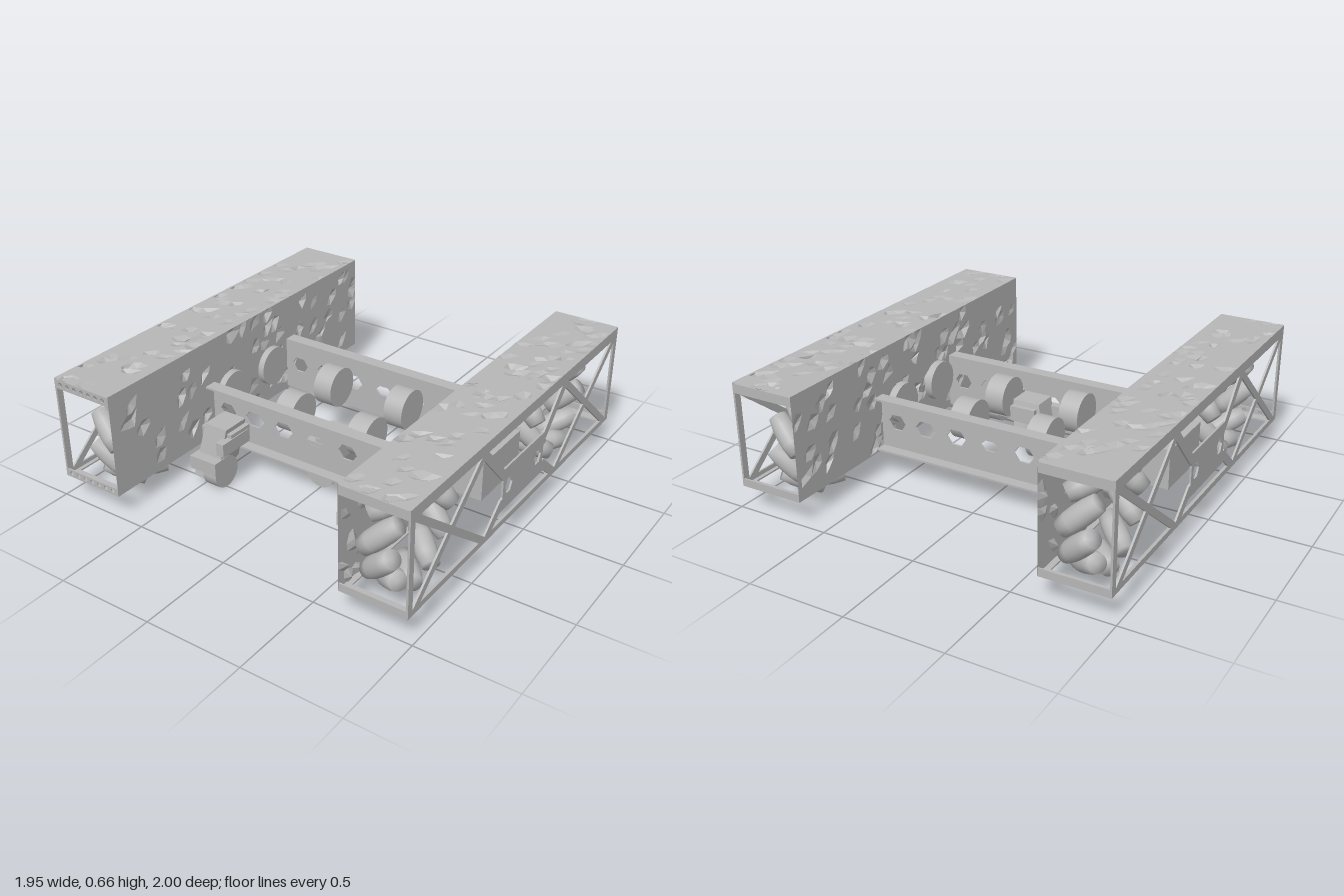
import * as THREE from 'three';

const grey = new THREE.MeshStandardMaterial({ color: 0xb6b6b6, side: THREE.DoubleSide });
grey.name = 'bare metal grey';

// Small seeded random generator
let seed = 11;
function rnd() {
  seed = (seed + 0x6d2b79f5) | 0;
  let t = Math.imul(seed ^ (seed >>> 15), 1 | seed);
  t = (t + Math.imul(t ^ (t >>> 7), 61 | t)) ^ t;
  return ((t ^ (t >>> 14)) >>> 0) / 4294967296;
}

function add(parent, name, geo, x = 0, y = 0, z = 0) {
  const m = new THREE.Mesh(geo, grey);
  m.name = name;
  m.position.set(x, y, z);
  parent.add(m);
  return m;
}
const box = (p, name, w, h, d, x, y, z) => add(p, name, new THREE.BoxGeometry(w, h, d), x, y, z);
function cylX(p, name, r, len, x, y, z, n = 28) {
  return add(p, name, new THREE.CylinderGeometry(r, r, len, n).rotateZ(Math.PI / 2), x, y, z);
}
const outline = pts => new THREE.Shape(pts.map(p => new THREE.Vector2(...p)));
const rect = (x0, y0, x1, y1) => outline([[x0, y0], [x1, y0], [x1, y1], [x0, y1]]);
const extrude = (shape, depth) => new THREE.ExtrudeGeometry(shape, { depth, bevelEnabled: false });

function polygonHole(shape, cx, cy, rx, ry, n) {
  const pts = [];
  for (let i = 0; i < n; i++) {
    const a = i / n * Math.PI * 2;
    pts.push(new THREE.Vector2(cx + rx * Math.cos(a), cy + ry * Math.sin(a)));
  }
  shape.holes.push(new THREE.Path(pts));
}

// Sheet with small sharp dents: inner vertices are shifted and some pushed inward
function dentedSheet(w, h, nx, ny, chance) {
  const plane = new THREE.PlaneGeometry(w, h, nx, ny);
  const p = plane.attributes.position;
  for (let j = 1; j < ny; j++) for (let i = 1; i < nx; i++) {
    const k = j * (nx + 1) + i;
    const dx = (rnd() - 0.5) * 0.8 * w / nx, dy = (rnd() - 0.5) * 0.8 * h / ny;
    p.setXYZ(k, p.getX(k) + dx, p.getY(k) + dy, rnd() < chance ? -0.006 - 0.022 * rnd() : 0);
  }
  const flat = plane.toNonIndexed();
  flat.computeVertexNormals();
  return flat;
}

// Flat bar between two (z, y) points in an upright side plane
function strut(p, x, [z0, y0], [z1, y1], w = 0.036) {
  const m = box(p, 'trussStrut', 0.01, w, Math.hypot(z1 - z0, y1 - y0), x, (y0 + y1) / 2, (z0 + z1) / 2);
  m.rotation.x = -Math.atan2(y1 - y0, z1 - z0);
}

// Wheel of ten slanted barrel rollers; hand sets the slant direction
function rollerWheel(hand) {
  const g = new THREE.Group();
  g.name = 'rollerWheel';
  const profile = [[0, -0.105], [0.043, -0.105], [0.052, -0.05], [0.054, 0], [0.052, 0.05], [0.043, 0.105], [0, 0.105]];
  const barrel = new THREE.LatheGeometry(profile.map(p => new THREE.Vector2(...p)), 18);
  const up = new THREE.Vector3(0, 1, 0);
  for (let i = 0; i < 10; i++) {
    const a = i / 10 * Math.PI * 2, c = Math.cos(a), s = Math.sin(a);
    const roller = add(g, 'roller', barrel, 0, 0.234 * c, 0.234 * s);
    roller.quaternion.setFromUnitVectors(up, new THREE.Vector3(1, -s * hand, c * hand).normalize());
  }
  return g;
}

// Long side frame: dented top and inner wall, open truss outside, open ends
function sideFrame(s) {
  const g = new THREE.Group();
  g.name = s > 0 ? 'leftFrame' : 'rightFrame';
  const inner = s * 0.632, outer = s * 0.97, mid = s * 0.803;
  add(g, 'topPlate', dentedSheet(0.345, 2, 10, 58, 0.11).rotateX(-Math.PI / 2), mid, 0.66, 0);
  add(g, 'innerWall', dentedSheet(2, 0.535, 58, 15, 0.08).rotateY(-s * Math.PI / 2), inner, 0.3925, 0);

  box(g, 'topRail', 0.01, 0.055, 2, outer, 0.631, 0);
  box(g, 'bottomRail', 0.01, 0.03, 2, outer, 0.14, 0);
  box(g, 'bottomLip', 0.03, 0.008, 2, s * 0.96, 0.129, 0);
  box(g, 'innerLip', 0.03, 0.008, 2, s * 0.647, 0.129, 0);
  for (const e of [-1, 1]) {
    box(g, 'outerPost', 0.01, 0.53, 0.035, outer, 0.393, e * 0.982);
    strut(g, outer, [e * 0.965, 0.61], [e * 0.36, 0.14]);
    strut(g, outer, [e * 0.39, 0.61], [e * 0.95, 0.14]);
    strut(g, outer, [e * 0.4, 0.61], [e * 0.2, 0.4], 0.045);
    strut(g, outer, [e * 0.34, 0.14], [e * 0.2, 0.26], 0.045);
    // End channels, drilled at the front of the right frame
    for (const [y0, y1, flange] of [[0.608, 0.655, 0.65], [0.125, 0.165, 0.129]]) {
      const face = rect(-0.17, y0, 0.17, y1);
      if (e > 0 && s < 0) for (let i = 0; i < 7; i++)
        polygonHole(face, -0.135 + i * 0.045, (y0 + y1) / 2, 0.012, 0.012, 8);
      add(g, 'endChannel', extrude(face, 0.008), mid, 0, e * 0.996 - 0.004);
      box(g, 'endFlange', 0.34, 0.008, 0.06, mid, flange, e * 0.968);
    }
    const wheel = rollerWheel(-s * e);
    wheel.position.set(s * 0.767, 0.322, e * 0.665);
    g.add(wheel);
  }

  // Centre drive plate and the gearbox behind it
  const plate = outline([[-0.25, 0.43], [0.25, 0.43], [0.2, 0.37], [0.2, 0.28], [0.26, 0.21],
    [-0.26, 0.21], [-0.2, 0.28], [-0.2, 0.37]]);
  for (const z of [-0.145, 0.145]) polygonHole(plate, z, 0.325, 0.035, 0.045, 6);
  add(g, 'drivePlate', extrude(plate, 0.01).rotateY(-Math.PI / 2), outer + 0.005, 0, 0);
  box(g, 'gearbox', 0.16, 0.2, 0.36, s * 0.78, 0.31, 0);
  return g;
}

// Swivel caster: sloping hood on a mount, wheel ahead (+z) of the mount
function caster(x, z, turn) {
  const g = new THREE.Group();
  g.name = 'caster';
  const shape = new THREE.BoxGeometry(1, 1, 1);
  const p = shape.attributes.position;
  for (let i = 0; i < p.count; i++) {
    const top = p.getY(i) > 0, right = p.getX(i) > 0, front = p.getZ(i) > 0;
    p.setXYZ(i, top ? (right ? 0.07 : -0.06) : (right ? 0.04 : -0.105),
      top ? 0.33 : (front ? 0.05 : 0.13), top ? (front ? 0.15 : 0) : (front ? 0.205 : 0.03));
  }
  const hood = shape.toNonIndexed();
  hood.computeVertexNormals();
  add(g, 'casterHood', hood);
  box(g, 'casterMount', 0.185, 0.08, 0.14, 0, 0.265, 0.07);
  box(g, 'casterArm', 0.045, 0.07, 0.2, 0.075, 0.25, 0.11);
  cylX(g, 'casterWheel', 0.085, 0.08, 0.015, 0.09, 0.145, 20);
  box(g, 'casterFork', 0.16, 0.07, 0.075, -0.02, 0.14, 0.197);
  g.position.set(x, 0, z);
  g.rotation.y = turn;
  return g;
}

// Cross channel: pierced web with flanges facing outward
function crossBeam(z, dir) {
  const g = new THREE.Group();
  g.name = dir > 0 ? 'frontBeam' : 'backBeam';
  const web = rect(-0.63, 0.14, 0.63, 0.425);
  polygonHole(web, 0, 0.29, 0.05, 0.03, 6);
  for (const s of [-1, 1]) {
    for (const [x, rx, ry] of [[0.19, 0.055, 0.045], [0.37, 0.06, 0.045], [0.54, 0.05, 0.045]])
      polygonHole(web, s * x, 0.29, rx, ry, 6);
  }
  add(g, 'beamWeb', extrude(web, 0.01), 0, 0, z - 0.005);
  for (const y of [0.145, 0.42]) box(g, 'beamFlange', 1.26, 0.01, 0.065, 0, y, z + dir * 0.03);
  return g;
}

export function createModel() {
  const model = new THREE.Group();
  model.name = 'driveChassis';
  for (const s of [-1, 1]) model.add(sideFrame(s));
  model.add(crossBeam(0.28, 1), crossBeam(-0.335, -1));

  // Two rows of four plain rollers between the beams
  for (const z of [-0.185, 0.15])
    for (const x of [-0.65, -0.217, 0.21, 0.645]) cylX(model, 'plainRoller', 0.105, 0.105, x, 0.33, z, 32);

  model.add(caster(-0.445, 0.35, 0), caster(0.435, 0.35, 0), caster(0.14, 0.185, -Math.PI / 2));
  return model;
}
